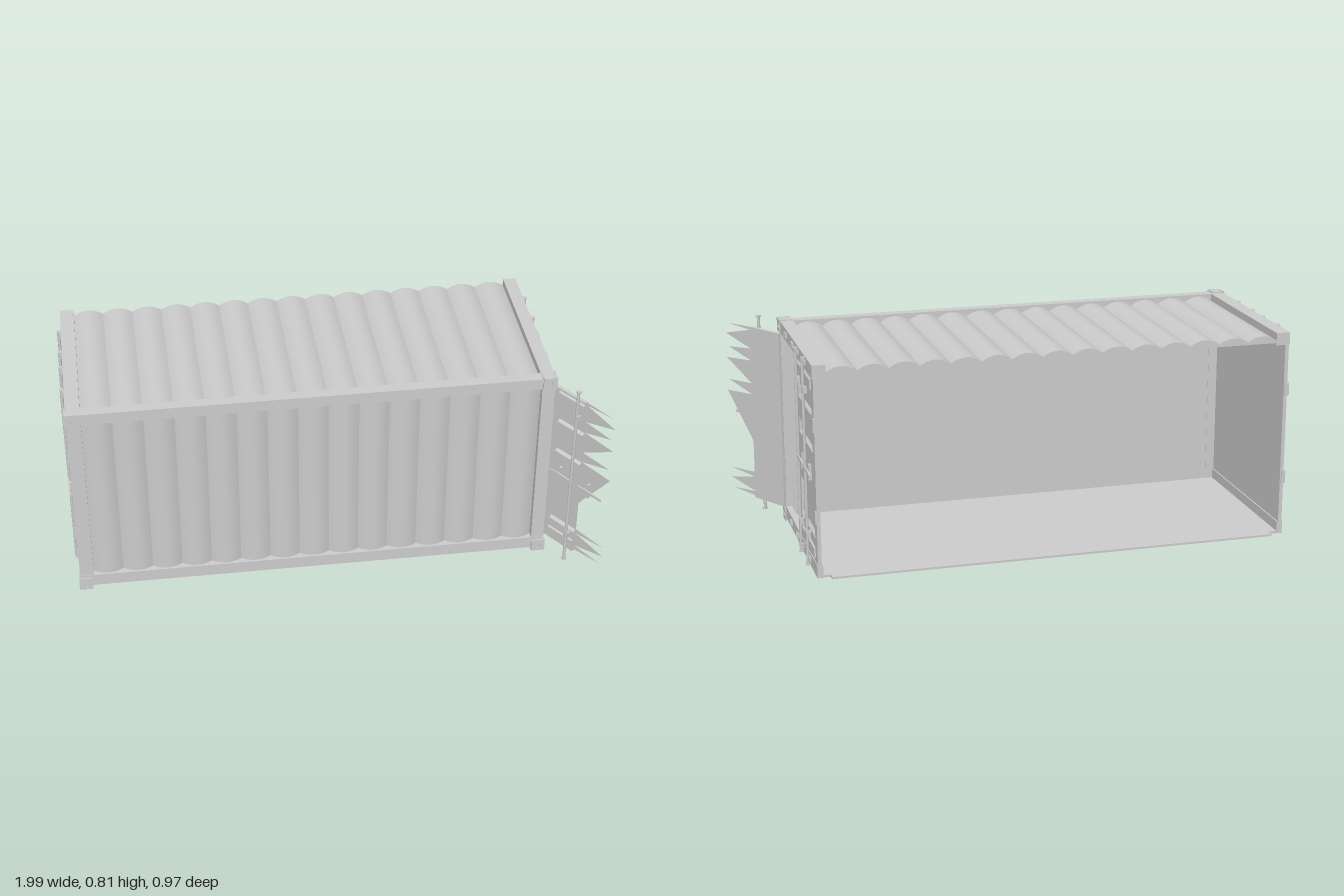
import * as THREE from 'three';
import { toCreasedNormals } from 'three/addons/utils/BufferGeometryUtils.js';

const steel = new THREE.MeshStandardMaterial({ color: 0xcccccc });
steel.name = 'greySteel';
steel.side = THREE.DoubleSide;

const LEFT = -0.985, RIGHT = 0.815; // end faces of the frame
const IN_L = -0.932, IN_R = 0.766; // inner sides of the corner posts
const FRONT = 0.26, BACK = -0.457; // the rear side is cut open

function add(parent, name, geometry) {
  const mesh = new THREE.Mesh(geometry, steel);
  mesh.name = name;
  parent.add(mesh);
  return mesh;
}

// Box given by its lower and upper limits on each axis
function box(parent, name, x0, x1, y0, y1, z0, z1) {
  const g = new THREE.BoxGeometry(Math.abs(x1 - x0), y1 - y0, Math.abs(z1 - z0));
  g.translate((x0 + x1) / 2, (y0 + y1) / 2, (z0 + z1) / 2);
  return add(parent, name, g);
}

// Panel with a flat inner face and a row of rounded flutes outside
function flutedPanel(length) {
  const count = 15, steps = 8, pitch = (IN_R - IN_L) / count;
  const shape = new THREE.Shape();
  shape.moveTo(IN_L, 0);
  for (let i = 0; i < count; i++) {
    for (let j = 0; j <= steps; j++) {
      const t = j / steps;
      shape.lineTo(IN_L + (i + t) * pitch, 0.01 + 0.08 * t * (1 - t));
    }
  }
  shape.lineTo(IN_R, 0);
  const g = new THREE.ExtrudeGeometry(shape, { depth: length, bevelEnabled: false });
  return toCreasedNormals(g, 0.5);
}

// Corner casting with slotted plates on its front and end faces
function casting(parent, side, y) {
  const group = new THREE.Group();
  group.name = 'cornerCasting';
  const size = 0.05;
  const plate = new THREE.Shape();
  plate.moveTo(-size / 2, -size / 2);
  plate.lineTo(size / 2, -size / 2);
  plate.lineTo(size / 2, size / 2);
  plate.lineTo(-size / 2, size / 2);
  const slot = new THREE.Path();
  slot.absellipse(0, 0, 0.009, 0.015, 0, Math.PI * 2, true);
  plate.holes.push(slot);
  const g = new THREE.ExtrudeGeometry(plate, { depth: 0.006, bevelEnabled: false, curveSegments: 6 });
  box(group, 'castingBlock', -0.026, 0.022, -0.0235, 0.0235, -0.025, 0.016);
  add(group, 'castingFrontPlate', g).position.z = 0.016;
  const end = add(group, 'castingEndPlate', g);
  end.rotation.y = side * Math.PI / 2;
  end.position.set(side * 0.021, 0, -0.003);
  group.position.set(side > 0 ? RIGHT - 0.022 : LEFT + 0.022, y, 0.246);
  parent.add(group);
}

// Locking bar with its guides, at distance s from the hinge
function lockingBar(door, dir, s) {
  const g = new THREE.CylinderGeometry(0.006, 0.006, 0.785, 10);
  add(door, 'lockingBar', g).position.set(dir * s, 0.408, 0.022);
  for (const y of [0.68, 0.135]) {
    box(door, 'barGuide', dir * s - 0.011, dir * s + 0.011, y - 0.012, y + 0.012, 0.01, 0.026);
  }
  for (const y of [0.017, 0.798]) {
    box(door, 'barEnd', dir * s - 0.008, dir * s + 0.008, y - 0.003, y + 0.003, 0.014, 0.029);
  }
}

// Lever pointing towards the hinge, with its upright catch
function handle(door, dir, s) {
  const lever = new THREE.Shape();
  lever.moveTo(dir * (s + 0.01), 0.384);
  lever.lineTo(dir * (s - 0.07), 0.385);
  lever.lineTo(dir * (s - 0.107), 0.389);
  lever.lineTo(dir * (s - 0.107), 0.392);
  lever.lineTo(dir * (s - 0.07), 0.396);
  lever.lineTo(dir * (s + 0.01), 0.393);
  const g = new THREE.ExtrudeGeometry(lever, { depth: 0.006, bevelEnabled: false });
  add(door, 'handleLever', g).position.z = 0.022;
  const c = dir * (s - 0.06);
  box(door, 'handleCatch', c - 0.005, c + 0.005, 0.36, 0.42, 0.01, 0.022);
}

// Door leaf: hinge at the origin, outer face to +z, width along dir * x
function makeDoor(name, dir, torn) {
  const door = new THREE.Group();
  door.name = name;
  if (torn) {
    // Ragged sheet: each row is height of a tip, its reach, height of the notch below it
    const edge = new THREE.Shape();
    edge.moveTo(0, 0.755);
    edge.lineTo(dir * 0.167, 0.755);
    for (const [tipY, reach, notchY] of [
      [0.75, 0.295, 0.743], [0.708, 0.31, 0.668], [0.656, 0.295, 0.62],
      [0.61, 0.31, 0.528], [0.522, 0.3, 0.484], [0.476, 0.31, 0.29],
    ]) {
      edge.lineTo(dir * reach, tipY);
      edge.lineTo(dir * 0.167, notchY);
    }
    edge.lineTo(dir * 0.167, 0.165);
    for (const [tipY, reach, notchY] of [
      [0.157, 0.31, 0.145], [0.116, 0.31, 0.085], [0.075, 0.295, 0.066],
    ]) {
      edge.lineTo(dir * reach, tipY);
      edge.lineTo(dir * 0.167, notchY);
    }
    edge.lineTo(0, 0.064);
    add(door, 'tornSheet', new THREE.ShapeGeometry(edge));
  }

  // Pressed sheet, drawn as depth against height and run across the leaf
  const inner = torn ? 0.166 : 0.315;
  const profile = new THREE.Shape();
  profile.moveTo(-0.004, 0.06);
  for (const [y, d] of [
    [0.06, 0.01], [0.075, 0.01], [0.079, 0.016], [0.112, 0.016], [0.116, 0.01],
    [0.152, 0.01], [0.163, 0], [0.292, 0], [0.302, 0.01], [0.473, 0.01],
    [0.482, 0], [0.519, 0], [0.528, 0.01], [0.608, 0.01], [0.617, 0], [0.657, 0],
    [0.666, 0.01], [0.703, 0.01], [0.707, 0.016], [0.742, 0.016], [0.748, 0.01], [0.756, 0.01],
  ]) profile.lineTo(d, y);
  profile.lineTo(-0.004, 0.756);
  const g = new THREE.ExtrudeGeometry(profile, { depth: inner - 0.04, bevelEnabled: false });
  g.rotateY(-Math.PI / 2); // depth to z, run to -x
  add(door, 'pressedSheet', g).position.x = dir > 0 ? inner : -0.04;
  box(door, 'hingeStile', 0, dir * 0.04, 0.06, 0.756, -0.004, 0.01);
  if (!torn) box(door, 'lockStile', dir * 0.315, dir * 0.34, 0.06, 0.756, -0.004, 0.01);

  lockingBar(door, dir, 0.14);
  if (!torn) lockingBar(door, dir, 0.285);
  handle(door, dir, 0.14);
  handle(door, dir, 0.285);
  for (const y of [0.24, 0.585]) {
    box(door, 'hinge', dir * -0.004, dir * 0.008, y - 0.025, y + 0.025, 0, 0.016);
  }
  return door;
}

export function createModel() {
  const model = new THREE.Group();
  model.name = 'openContainer';

  // Fluted roof and front wall, and a floor reaching past the open side
  add(model, 'roof', flutedPanel(0.22 - BACK)).position.set(0, 0.766, BACK);
  const wall = add(model, 'frontWall', flutedPanel(0.71));
  wall.rotation.x = Math.PI / 2;
  wall.position.set(0, 0.765, 0.222);
  box(model, 'floor', IN_L, IN_R, 0.014, 0.022, -0.485, 0.25);

  // Long rails
  box(model, 'topFrontRail', LEFT, RIGHT, 0.76, 0.804, 0.217, FRONT);
  box(model, 'bottomFrontRail', LEFT, RIGHT, 0.012, 0.06, 0.222, FRONT);

  // End frames, castings and bar keepers
  for (const side of [-1, 1]) {
    const outer = side > 0 ? RIGHT : LEFT;
    const post = side > 0 ? IN_R : IN_L;
    box(model, 'frontPost', post, outer, 0.03, 0.78, 0.22, FRONT - 0.002);
    box(model, 'topEndRail', post, outer, 0.757, 0.804, BACK, 0.23);
    box(model, 'bottomEndRail', outer - side * 0.022, outer, 0.012, 0.06, BACK, 0.23);
    box(model, 'endFloor', post, outer, 0.013, 0.022, BACK, 0.23);
    casting(model, side, 0.025);
    casting(model, side, 0.785);
    for (const z of [0.08, -0.065, -0.175, -0.32]) {
      for (const y of [0.04, 0.784]) {
        for (const k of [-0.014, -0.005, 0.005, 0.014]) {
          box(model, 'barKeeper', outer, outer + side * 0.008, y - 0.009, y + 0.009, z + k - 0.002, z + k + 0.002);
        }
      }
    }
  }

  // Doors: name, width direction, torn, hinge x, hinge z, turn
  for (const [name, dir, torn, x, z, turn] of [
    ['closedRightDoor', -1, false, 0.802, BACK, Math.PI / 2],
    ['openTornDoor', 1, true, 0.82, 0.22, -0.99],
    ['leftFrontDoor', -1, false, -0.972, 0.22, -Math.PI / 2],
    ['leftBackDoor', 1, false, -0.972, BACK, -Math.PI / 2],
  ]) {
    const door = makeDoor(name, dir, torn);
    door.position.set(x, 0, z);
    door.rotation.y = turn;
    model.add(door);
  }
  return model;
}
